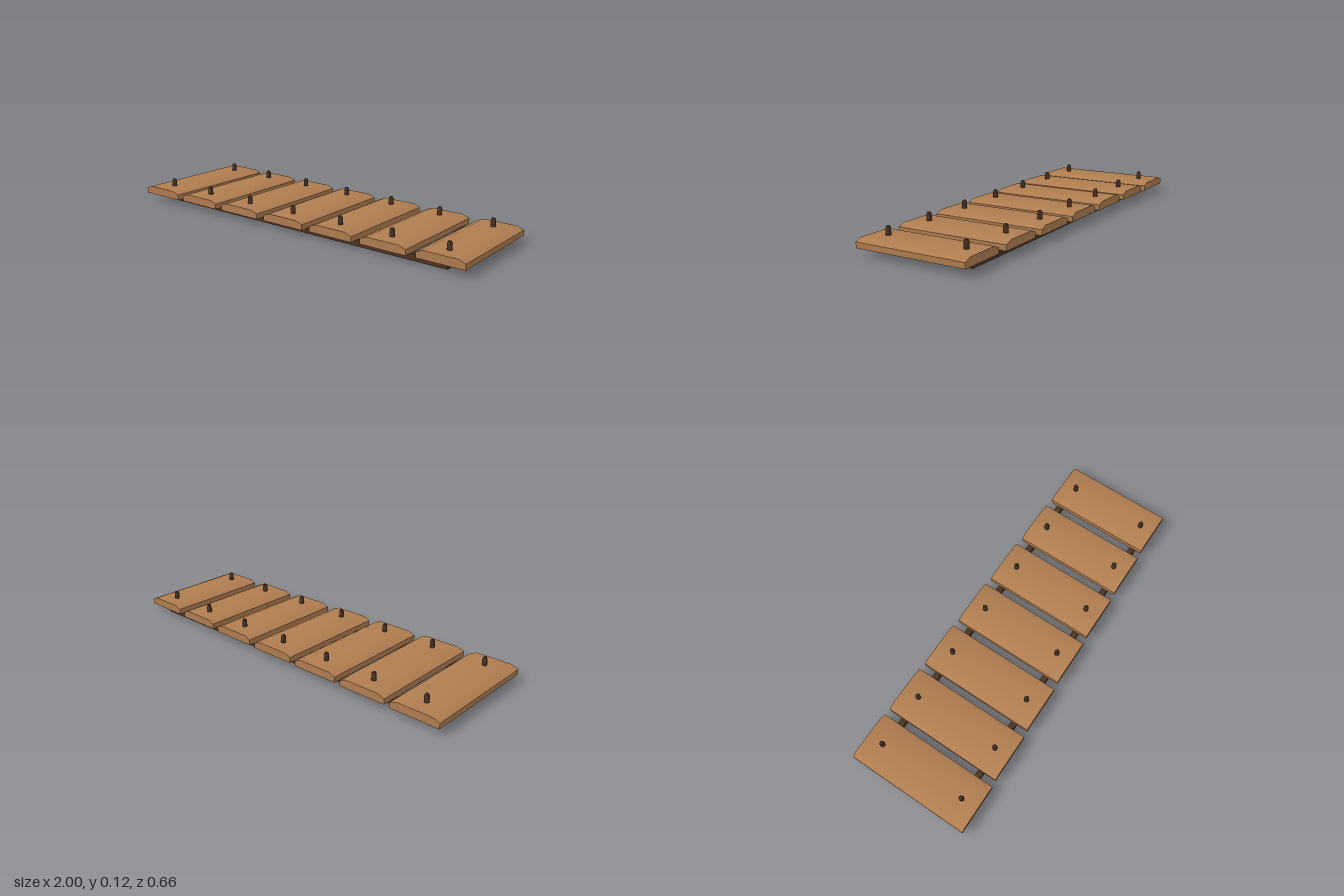
import * as THREE from 'three';
import { toCreasedNormals } from 'three/addons/utils/BufferGeometryUtils.js';

const barWood = new THREE.MeshStandardMaterial({ color: 0xb07d50 });
barWood.name = 'barWood';
const darkWood = new THREE.MeshStandardMaterial({ color: 0x4a3423 });
darkWood.name = 'darkWood';

const COUNT = 7;
const lerp = THREE.MathUtils.lerp;

function addMesh(parent, name, geometry, material, x, y, z) {
  const mesh = new THREE.Mesh(geometry, material);
  mesh.name = name;
  mesh.position.set(x, y, z);
  parent.add(mesh);
}

// Bar with bevelled upper long edges, extruded along z
function barGeometry(width, length) {
  const w = width / 2, inset = 0.035, h = 0.042, side = 0.028;
  const profile = new THREE.Shape([
    new THREE.Vector2(-w, 0), new THREE.Vector2(w, 0),
    new THREE.Vector2(w, side), new THREE.Vector2(w - inset, h),
    new THREE.Vector2(-w + inset, h), new THREE.Vector2(-w, side),
  ]);
  const geometry = new THREE.ExtrudeGeometry(profile, { depth: length, bevelEnabled: false });
  geometry.translate(0, 0, -length / 2);
  return toCreasedNormals(geometry, 0.55);
}

// Upright pin with a chamfered tip
function pegGeometry() {
  const points = [[0, 0.018], [0.0125, 0.018], [0.0125, 0.106], [0.008, 0.116], [0, 0.116]];
  const lathe = new THREE.LatheGeometry(points.map(([r, y]) => new THREE.Vector2(r, y)), 10);
  return toCreasedNormals(lathe, 0.7);
}

export function createModel() {
  const group = new THREE.Group();
  group.name = 'xylophone';

  // Two straight rails under the bars
  for (const s of [-1, 1]) {
    addMesh(group, s > 0 ? 'frontRail' : 'backRail',
      new THREE.BoxGeometry(1.785, 0.033, 0.031), darkWood, 0.003, 0.0165, s * 0.2355);
  }

  // Bars get shorter and narrower toward +x, each held by two pegs
  const peg = pegGeometry();
  for (let i = 0; i < COUNT; i++) {
    const t = i / (COUNT - 1);
    const x = lerp(-0.871, 0.878, t);
    addMesh(group, `bar${i + 1}`, barGeometry(lerp(0.258, 0.243, t), lerp(0.658, 0.576, t)),
      barWood, x, 0.033, 0);
    addMesh(group, `backPeg${i + 1}`, peg, darkWood, x, 0, lerp(-0.238, -0.209, t));
    addMesh(group, `frontPeg${i + 1}`, peg, darkWood, x, 0, lerp(0.238, 0.209, t));
  }
  return group;
}
